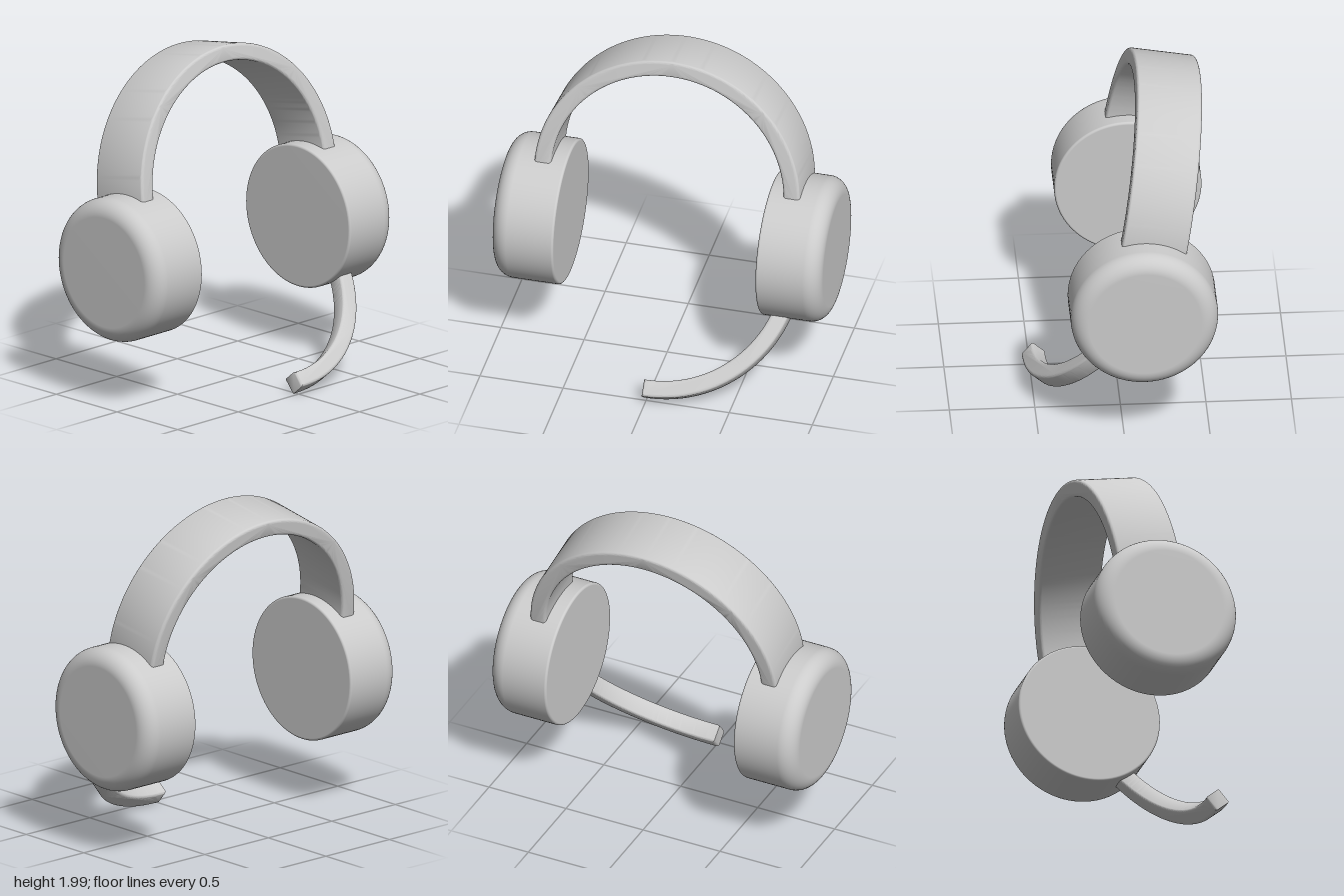
import * as THREE from 'three';
import { toCreasedNormals } from 'three/addons/utils/BufferGeometryUtils.js';

const material = new THREE.MeshStandardMaterial({ color: 0xcccccc });
const deg = THREE.MathUtils.degToRad;

// Flat curved strip with softened edges; its front face lies on local z = 0.
function arcStrip(name, from, to, width, tiltDeg, y, z) {
  const b = 0.018, outer = 0.8 - b, inner = 0.7 + b;
  const shape = new THREE.Shape();
  shape.absarc(0, 0, outer, from, to, false);
  shape.absarc(0, 0, inner, to, from, true);
  shape.closePath();
  const geometry = new THREE.ExtrudeGeometry(shape, {
    depth: width - 2 * b, curveSegments: 64,
    bevelSize: b, bevelThickness: b, bevelSegments: 5,
  });
  geometry.translate(0, 0, b - width);
  const mesh = new THREE.Mesh(toCreasedNormals(geometry, deg(35)), material);
  mesh.name = name;
  mesh.rotation.x = deg(tiltDeg);
  mesh.position.set(0, y, z);
  return mesh;
}

// Round cup: crisp edge on the ear side, generously rounded on the outside.
function earCup(name, side) {
  const radius = 0.431, near = 0.608, far = 0.992, soft = 0.1, crisp = 0.014;
  const profile = new THREE.Path();
  profile.moveTo(0, near);
  profile.lineTo(radius - crisp, near);
  profile.absarc(radius - crisp, near + crisp, crisp, -Math.PI / 2, 0, false);
  profile.absarc(radius - soft, far - soft, soft, 0, Math.PI / 2, false);
  profile.lineTo(0, far);
  const points = profile.getPoints(5);
  points[0].x = points[points.length - 1].x = 0;
  const mesh = new THREE.Mesh(new THREE.LatheGeometry(points, 96), material);
  mesh.name = name;
  mesh.rotation.z = -side * Math.PI / 2;
  mesh.position.set(0, 0.832, -0.115);
  return mesh;
}

export function createModel() {
  const model = new THREE.Group();
  model.name = 'headset';
  model.add(
    // Cups
    earCup('leftEarCup', 1),
    earCup('rightEarCup', -1),
    // Half-circle band leaning back, ends sunk into the cups
    arcStrip('headband', 0, Math.PI, 0.385, -10, 1.213, 0.015),
    // Quarter-circle boom reaching forward and down from the left cup
    arcStrip('microphoneBoom', -Math.PI / 2, 0, 0.11, -40, 0.686, 0.036),
  );
  return model;
}
